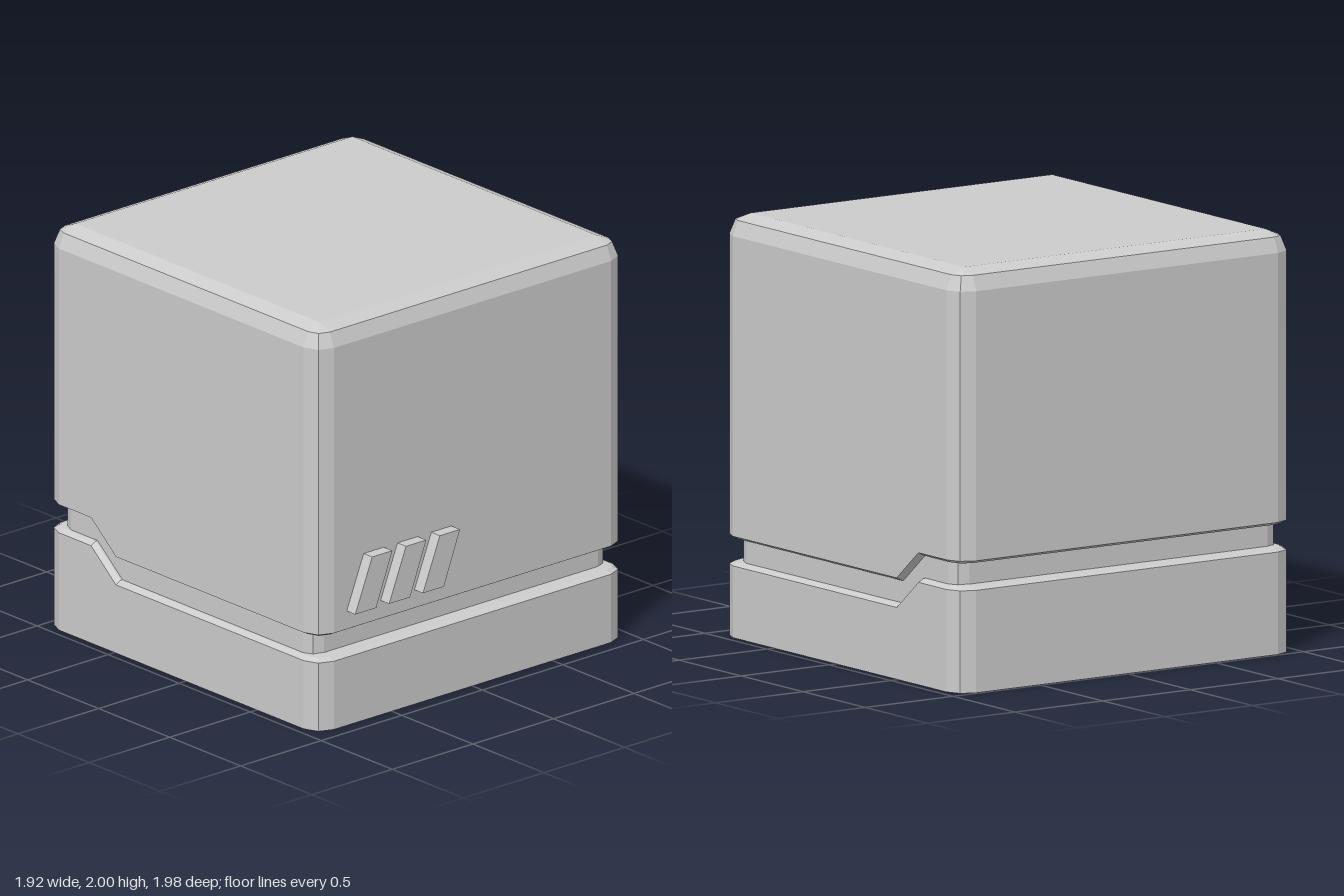
import * as THREE from 'three';

const material = new THREE.MeshStandardMaterial({ color: 0xcccccc, flatShading: true });

// Height of the seam's step: low at the front, raised toward the back
const STEP_FRONT = -0.49, STEP_BACK = -0.665, RISE = 0.145;
const step = (z) => RISE * THREE.MathUtils.clamp((STEP_FRONT - z) / (STEP_FRONT - STEP_BACK), 0, 1);

// Plan outline, counterclockwise from above: right half front to back, then its mirror
function outline({ half, front, back, radius }, inset) {
  const r = Math.max(radius - inset, 0.001);
  const cx = half - inset - r, zf = front - inset - r, zb = back + inset + r;
  const points = [];
  for (const a of [90, 45, 0]) {
    const t = THREE.MathUtils.degToRad(a);
    points.push([cx + r * Math.cos(t), zf + r * Math.sin(t)]);
  }
  points.push([cx + r, STEP_FRONT], [cx + r, STEP_BACK]);
  for (const a of [0, -45, -90]) {
    const t = THREE.MathUtils.degToRad(a);
    points.push([cx + r * Math.cos(t), zb + r * Math.sin(t)]);
  }
  return [...points, ...points.map(([x, z]) => [-x, z]).reverse()];
}

// Closed solid through rings [inset, y, followsStep], listed bottom to top
function loft(name, plan, rings) {
  const positions = [], index = [];
  let n = 0;
  for (const [inset, y, follows] of rings) {
    const ring = outline(plan, inset);
    n = ring.length;
    for (const [x, z] of ring) positions.push(x, y + (follows ? step(z) : 0), z);
  }
  for (let k = 0; k < rings.length - 1; k++) {
    for (let i = 0; i < n; i++) {
      const a = k * n + i, b = k * n + ((i + 1) % n);
      index.push(a, b, b + n, a, b + n, a + n);
    }
  }
  // Caps: strips running from side to side
  const top = (rings.length - 1) * n;
  for (let i = 0; i < n / 2 - 1; i++) {
    const j = i + 1, mi = n - 1 - i, mj = n - 1 - j;
    index.push(top + i, top + j, top + mj, top + i, top + mj, top + mi);
    index.push(i, mj, j, i, mi, mj);
  }
  const geometry = new THREE.BufferGeometry();
  geometry.setAttribute('position', new THREE.Float32BufferAttribute(positions, 3));
  geometry.setIndex(index);
  const flat = geometry.toNonIndexed();
  flat.computeVertexNormals();
  const mesh = new THREE.Mesh(flat, material);
  mesh.name = name;
  return mesh;
}

export function createModel() {
  const model = new THREE.Group();
  model.name = 'steppedCase';
  const shell = { half: 0.96, front: 0.93, back: -0.99, radius: 0.1 };
  const inner = { half: 0.92, front: 0.85, back: -0.92, radius: 0.07 };

  // Lower shell with a softened upper rim
  model.add(loft('base', shell, [
    [0, 0, false], [0, 0.34, true], [0.029, 0.355, true], [0.1, 0.36, true],
  ]));

  // Recessed band in the seam
  model.add(loft('seamCore', inner, [[0, 0.3, true], [0, 0.52, true]]));

  // Upper shell with rounded top edges
  model.add(loft('upperBody', shell, [
    [0.1, 0.46, true], [0.029, 0.465, true], [0, 0.48, true],
    [0, 1.9, false], [0.029, 1.971, false], [0.1, 2, false],
  ]));

  // Three slanted bars on the front
  const slant = new THREE.Shape([
    new THREE.Vector2(-0.78, 0.57), new THREE.Vector2(-0.65, 0.57),
    new THREE.Vector2(-0.55, 0.83), new THREE.Vector2(-0.675, 0.83),
  ]);
  const barGeometry = new THREE.ExtrudeGeometry(slant, { depth: 0.09, bevelEnabled: false });
  const bars = new THREE.Group();
  bars.name = 'frontBars';
  for (let i = 0; i < 3; i++) {
    const bar = new THREE.Mesh(barGeometry, material);
    bar.name = 'slantedBar';
    bar.position.set(i * 0.21, 0, 0.9);
    bars.add(bar);
  }
  model.add(bars);
  return model;
}
